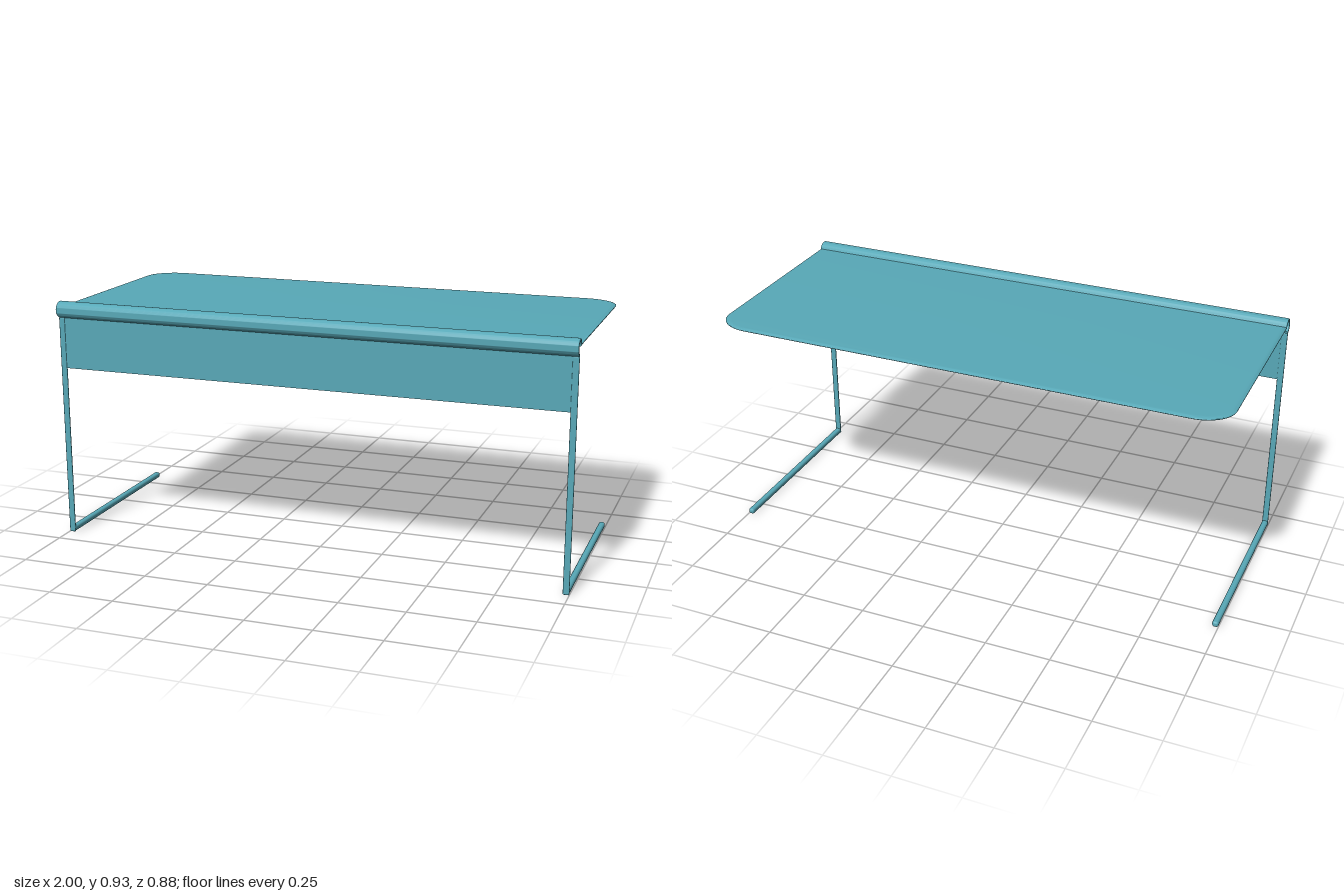
import * as THREE from 'three';
import { toCreasedNormals } from 'three/addons/utils/BufferGeometryUtils.js';
import { RoundedBoxGeometry } from 'three/addons/geometries/RoundedBoxGeometry.js';

export function createModel() {
  const group = new THREE.Group();
  const material = new THREE.MeshStandardMaterial({ color: 0x58a9b8 });

  const add = (name, geometry, x = 0, y = 0, z = 0) => {
    const mesh = new THREE.Mesh(geometry, material);
    mesh.name = name;
    mesh.position.set(x, y, z);
    group.add(mesh);
    return mesh;
  };

  // Thin desktop: square at the front, rounded at the rear, with a soft tapered rim
  const rim = 0.02;
  const hx = 1 - rim, front = 0.387 - rim, back = -0.44 + rim;
  const rx = 0.11, rz = 0.09, k = 0.45;
  const outline = new THREE.Shape();
  outline.moveTo(-hx, -front);
  outline.lineTo(hx, -front);
  outline.lineTo(hx, -back - rz);
  outline.bezierCurveTo(hx, -back - rz * k, hx - rx * k, -back, hx - rx, -back);
  outline.lineTo(-hx + rx, -back);
  outline.bezierCurveTo(-hx + rx * k, -back, -hx, -back - rz * k, -hx, -back - rz);
  outline.closePath();
  const top = new THREE.ExtrudeGeometry(outline, {
    depth: 0.001, bevelThickness: 0.005, bevelSize: rim, bevelSegments: 6, curveSegments: 16,
  });
  top.rotateX(-Math.PI / 2);
  add('desktop', toCreasedNormals(top, 0.7), 0, 0.902, 0);

  // Rolled front edge: a ring section in the z-y plane, drawn out along x
  const start = THREE.MathUtils.degToRad(172), end = THREE.MathUtils.degToRad(-76);
  const section = new THREE.Shape();
  section.absarc(0, 0, 0.028, start, end, true);
  section.absarc(0, 0, 0.025, end, start, false);
  section.closePath();
  const bevel = 0.004;
  const roll = new THREE.ExtrudeGeometry(section, {
    depth: 2 - 2 * bevel, bevelThickness: bevel, bevelSize: bevel, bevelSegments: 3, curveSegments: 32,
  });
  roll.translate(0, 0, -(1 - bevel));
  roll.rotateY(-Math.PI / 2);
  add('rolledEdge', toCreasedNormals(roll, 0.7), 0, 0.897, 0.408);

  // Front panel hanging from the roll
  add('frontPanel', new THREE.BoxGeometry(1.97, 0.2, 0.006), 0, 0.769, 0.413);

  // Flat uprights and rounded floor runners, mirrored
  for (const [side, s] of [['left', 1], ['right', -1]]) {
    add(side + 'Leg', new RoundedBoxGeometry(0.024, 0.867, 0.009, 3, 0.004), s * 0.988, 0.4335, 0.4135);
    add(side + 'Foot', new RoundedBoxGeometry(0.024, 0.023, 0.755, 4, 0.009), s * 0.988, 0.0115, 0.0405);
  }
  return group;
}
